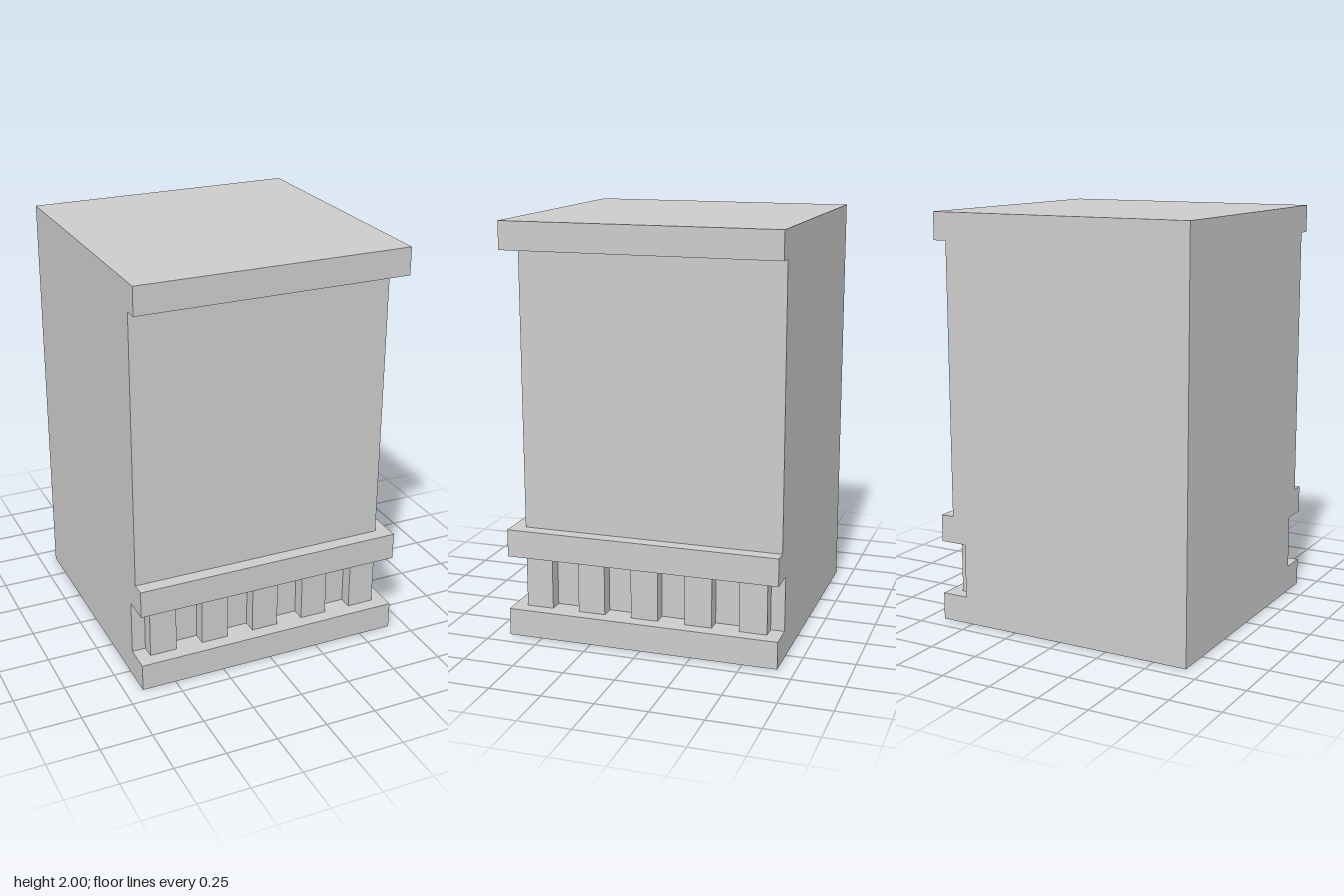
import * as THREE from 'three';

const U = 1 / 15;      // base unit: every size is a multiple of it
const BACK = -10 * U;  // flush plane shared by the left-out back and -x sides

export function createModel() {
  const group = new THREE.Group();
  const material = new THREE.MeshStandardMaterial({ color: 0xcccccc, flatShading: true });

  // Box given by its minimum and maximum corners
  function box(name, x0, x1, y0, y1, z0, z1) {
    const mesh = new THREE.Mesh(new THREE.BoxGeometry(x1 - x0, y1 - y0, z1 - z0), material);
    mesh.position.set((x0 + x1) / 2, (y0 + y1) / 2, (z0 + z1) / 2);
    mesh.name = name;
    group.add(mesh);
  }

  // Square layer that grows from the flush back corner out to "reach"
  const layer = (name, reach, y0, y1) =>
    box(name, BACK, reach * U, y0 * U, y1 * U, BACK, reach * U);

  layer('baseSlab', 10, 0, 2);
  layer('dentilCore', 8, 2, 6);
  layer('middleSlab', 10, 6, 8);
  layer('wallBody', 9, 8, 28);
  layer('topSlab', 10, 28, 30);

  // Dentils along the front and the +x side, sharing one corner block
  const y0 = 2 * U, y1 = 6 * U, inner = 8 * U, outer = 9 * U;
  box('cornerDentil', 7 * U, outer, y0, y1, 7 * U, outer);
  for (let i = 1; i < 5; i++) {
    const a = (7 - 4 * i) * U, b = a + 2 * U;
    box('frontDentil' + i, a, b, y0, y1, inner, outer);
    box('sideDentil' + i, inner, outer, y0, y1, a, b);
  }
  return group;
}
